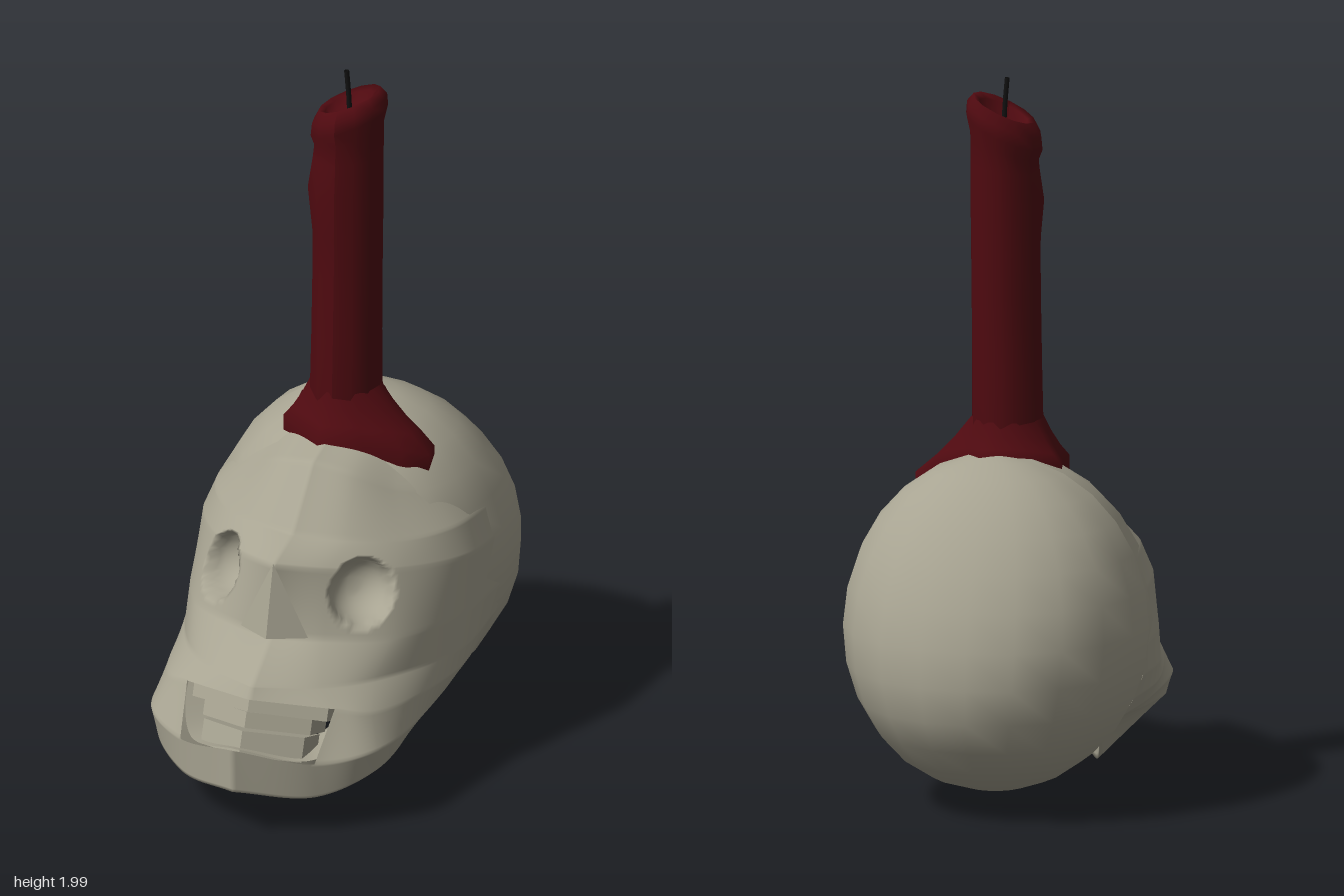
import * as THREE from 'three';

const V = (x, y, z) => new THREE.Vector3(x, y, z);
const mat = (color) => new THREE.MeshStandardMaterial({ color, side: THREE.DoubleSide });

// Half cross-sections of the face, forehead to lip: centre line, front corner, cheek, temple, back
const UPPER = [
  [[0, .962, -.17], [.08, .95, -.17], [.15, .93, -.18], [.2, .905, -.19], [.24, .88, -.24]],
  [[0, .9, .12], [.11, .875, .095], [.21, .82, .03], [.28, .79, -.06], [.33, .78, -.24]],
  [[0, .745, .265], [.14, .735, .215], [.27, .71, .11], [.355, .7, -.03], [.385, .69, -.24]],
  [[0, .715, .4], [.13, .685, .31], [.285, .65, .16], [.39, .62, -.03], [.41, .6, -.24]],
  [[0, .5, .41], [.14, .5, .37], [.3, .48, .25], [.4, .46, 0], [.415, .45, -.24]],
  [[0, .41, .55], [.17, .4, .46], [.28, .39, .34], [.4, .36, .03], [.4, .36, -.22]],
  [[0, .38, .57], [.22, .355, .485], [.305, .33, .42], [.395, .3, .04], [.37, .29, -.2]],
];
// Jaw: rim, chin edge, bottom edge, inner wall, inner rim
const JAW = [
  [[0, .28, .69], [.2, .225, .58], [.338, .24, .46], [.365, .24, .06], [.33, .23, -.14]],
  [[0, .15, .685], [.2, .12, .57], [.328, .17, .44], [.31, .19, .1], [.26, .2, -.06]],
  [[0, .075, .48], [.11, .035, .37], [.17, .01, .28], [.2, .15, .12], [.2, .2, 0]],
  [[0, .2, .46], [.11, .2, .38], [.15, .22, .28], [.19, .24, .12], [.2, .22, 0]],
  [[0, .27, .66], [.18, .22, .55], [.27, .28, .36], [.3, .3, .1], [.28, .3, -.05]],
];

// Presses a round bowl into the surface for the eye socket, gathering vertices at its rim
const EYE = V(.195, .605, .25), EYE_DIR = V(.62, .2, .75).normalize(), EYE_R = .092;
function pressEye(p) {
  const d = p.clone().sub(EYE);
  d.addScaledVector(EYE_DIR, -d.dot(EYE_DIR));
  const r = d.length() / EYE_R;
  if (r >= 1 || p.z < 0) return;
  const rim = Math.pow(r, .6);
  p.addScaledVector(d.normalize(), (rim - r) * EYE_R);
  p.addScaledVector(EYE_DIR, -.1 * Math.sqrt(1 - rim * rim));
}

// Mirrored loft through the face and jaw sections, leaving the mouth open
function faceGeometry() {
  const rows = [...UPPER, ...JAW], su = 20, sv = 14;
  const nu = 4 * su, nv = (rows.length - 1) * sv, w = 2 * nu + 1;
  const across = rows.map((r) => new THREE.CatmullRomCurve3(r.map((p) => V(...p))));
  const pos = new Float32Array((nv + 1) * w * 3), index = [];
  for (let u = 0; u <= nu; u++) {
    const column = across.map((c) => c.getPoint(u / nu));
    for (let v = 0; v <= nv; v++) {
      const k = Math.min(Math.floor(v / sv), rows.length - 2);
      const p = column[k].clone().lerp(column[k + 1], v / sv - k);
      pressEye(p);
      pos.set([p.x, p.y, p.z], (v * w + nu + u) * 3);
      pos.set([-p.x, p.y, p.z], (v * w + nu - u) * 3);
    }
  }
  const lip = (UPPER.length - 1) * sv;
  for (let v = 0; v < nv; v++) {
    for (let i = 0; i < w - 1; i++) {
      const mouth = v >= lip && v < lip + sv && i >= nu - su && i < nu + su;
      if (mouth) continue;
      const a = v * w + i, c = a + w;
      index.push(a, c, a + 1, a + 1, c, c + 1);
    }
  }
  const g = new THREE.BufferGeometry();
  g.setAttribute('position', new THREE.BufferAttribute(pos, 3));
  g.setIndex(index);
  g.computeVertexNormals();
  return g;
}

// Braincase: squarer than an ellipse from above, its back fuller below and flatter above
function craniumGeometry() {
  const g = new THREE.SphereGeometry(1, 20, 14);
  const p = g.attributes.position, e = 2.2;
  for (let i = 0; i < p.count; i++) {
    const x = p.getX(i), y = p.getY(i), z = p.getZ(i), flat = Math.hypot(x, z);
    const k = flat < 1e-4 ? 1 : flat / Math.pow(Math.abs(x) ** e + Math.abs(z) ** e, 1 / e);
    const back = .12 * y * Math.max(0, -z);
    p.setXYZ(i, x * k * .422, .505 + y * .465, -.24 + z * k * .445 + back);
  }
  g.computeVertexNormals();
  return g;
}

// Wedge-shaped nose ridge
function noseGeometry() {
  const top = [0, .72, .4], l = [-.1, .505, .39], r = [.1, .505, .39], tip = [0, .51, .45];
  const tris = [top, l, tip, top, tip, r, tip, l, r];
  const g = new THREE.BufferGeometry();
  g.setAttribute('position', new THREE.Float32BufferAttribute(tris.flat(), 3));
  g.computeVertexNormals();
  return g;
}

// V-shaped bar for a row of teeth, tilted upward at the front
function teethRow(front, halfWidth, y, height) {
  const pts = [[0, 0], [halfWidth, -.09], [halfWidth, -.2], [0, -.13], [-halfWidth, -.2], [-halfWidth, -.09]];
  const s = new THREE.Shape(pts.map((p) => new THREE.Vector2(...p)));
  const g = new THREE.ExtrudeGeometry(s, { depth: height, bevelEnabled: false });
  g.rotateX(Math.PI / 2 - .35);
  g.translate(0, y, front);
  return g;
}

// Candle with a slanted, hollowed rim and a run of wax on one side
const CANDLE_Z = -.11;
function candleGeometry() {
  const profile = [[.095, .85], [.1, 1.03], [.098, 1.2], [.097, 1.4], [.097, 1.52], [.097, 1.65], [.096, 1.75],
    [.096, 1.81], [.107, 1.85], [.104, 1.885], [.085, 1.915], [.068, 1.905], [.058, 1.88], [.001, 1.87]];
  const g = new THREE.LatheGeometry(profile.map((p) => new THREE.Vector2(...p)), 12);
  const p = g.attributes.position;
  for (let i = 0; i < p.count; i++) {
    const x = p.getX(i), y = p.getY(i), z = p.getZ(i);
    const side = Math.max(0, (z - x) / .134);
    const k = 1 + .17 * Math.pow(side, 4) * Math.exp(-Math.pow((y - 1.65) / .09, 2));
    const slant = THREE.MathUtils.smoothstep(y, 1.7, 1.85) * .45 * x;
    p.setXYZ(i, x * k + .012 * (y - 1), y + slant, z * k + CANDLE_Z);
  }
  g.computeVertexNormals();
  return g;
}

// Melted wax flaring from the candle foot to an uneven edge on the skull
function waxGeometry() {
  const edge = [[.26, .88, -.08], [.2, .905, -.03], [.1, .93, .01], [-.02, .93, .045], [-.16, .935, -.05],
    [-.155, .935, -.12], [-.17, .935, -.2], [-.06, .96, -.25], [.05, .96, -.27], [.1, .95, -.2],
    [.2, .915, -.155], [.255, .885, -.13]];
  const n = edge.length, pos = [], index = [];
  // Each ring: spread from foot to edge, then a lip dropped onto the bone
  for (const [s, lip] of [[0, 0], [.3, .01], [.65, .01], [1, 0], [1, .05]]) {
    for (const [x, y, z] of edge) {
      const a = Math.atan2(z - CANDLE_Z, x);
      const cx = .099 * Math.cos(a), cz = CANDLE_Z + .099 * Math.sin(a);
      pos.push(cx + (x - cx) * s, 1.05 + (y - 1.05) * s - lip, cz + (z - cz) * s);
    }
  }
  for (let r = 0; r < 4; r++) {
    for (let i = 0; i < n; i++) {
      const a = r * n + i, b = r * n + (i + 1) % n;
      index.push(a, b, a + n, b, b + n, a + n);
    }
  }
  const g = new THREE.BufferGeometry();
  g.setAttribute('position', new THREE.Float32BufferAttribute(pos, 3));
  g.setIndex(index);
  g.computeVertexNormals();
  return g;
}

export function createModel() {
  const group = new THREE.Group();
  const bone = mat(0xa8a492), wax = mat(0x4f0a10), black = mat(0x111111);
  const add = (name, geometry, material) => {
    const m = new THREE.Mesh(geometry, material);
    m.name = name;
    group.add(m);
  };

  // Skull
  add('cranium', craniumGeometry(), bone);
  add('faceAndJaw', faceGeometry(), bone);
  add('noseRidge', noseGeometry(), bone);
  add('upperGum', teethRow(.565, .2, .385, .04), bone);
  add('upperTeeth', teethRow(.585, .16, .35, .045), bone);
  add('lowerTeeth', teethRow(.615, .15, .305, .07), bone);

  // Candle
  add('candle', candleGeometry(), wax);
  add('meltedWax', waxGeometry(), wax);
  const wickPath = new THREE.CatmullRomCurve3([V(.012, 1.85, CANDLE_Z), V(.008, 1.93, CANDLE_Z), V(.002, 2, CANDLE_Z)]);
  add('wick', new THREE.TubeGeometry(wickPath, 6, .007, 6), black);
  return group;
}
